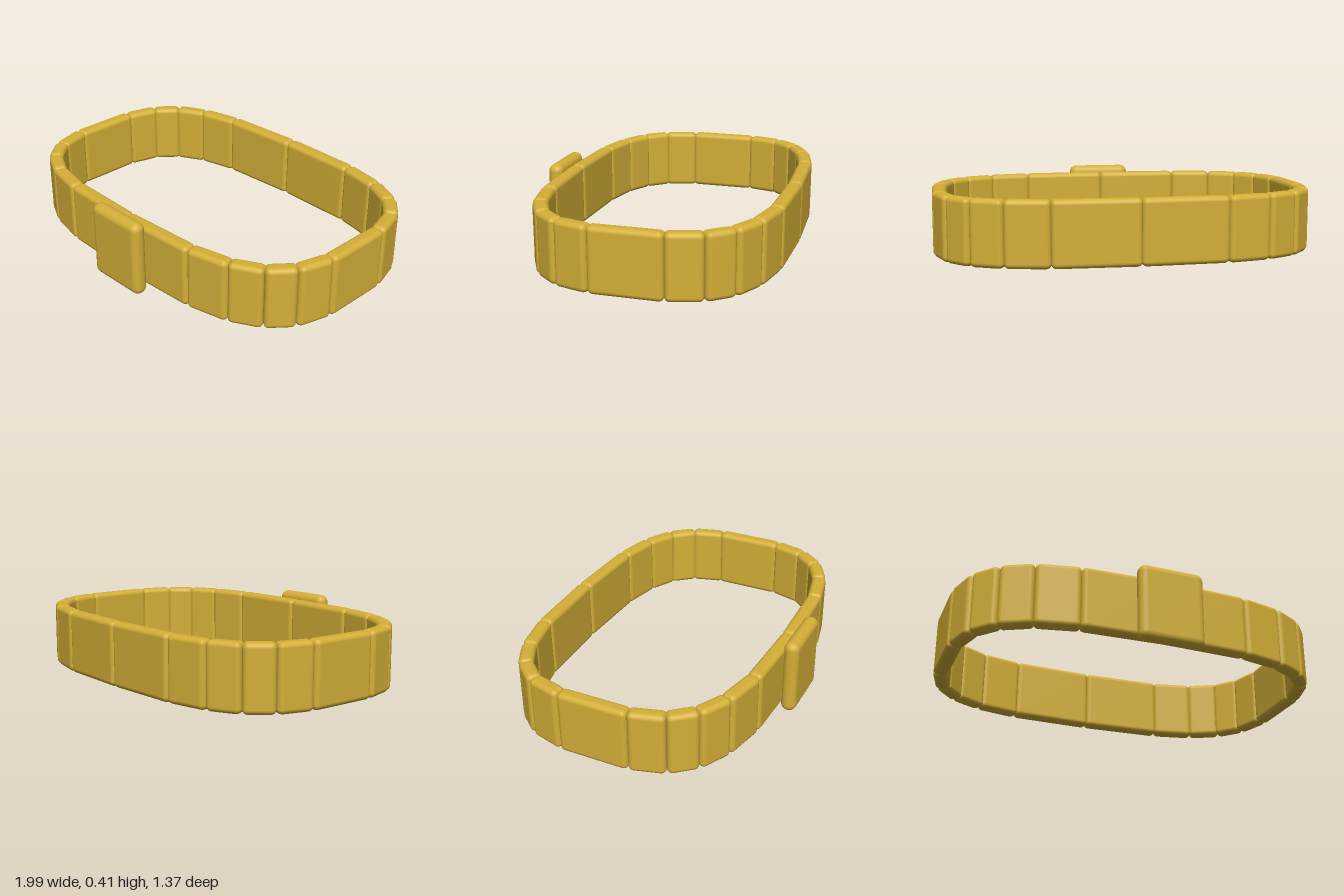
import * as THREE from 'three';
import { RoundedBoxGeometry } from 'three/addons/geometries/RoundedBoxGeometry.js';

const LINKS = 22;
const RADIUS_X = 0.96, RADIUS_Z = 0.612, SQUARENESS = 0.62;
const CENTRE_Y = 0.2075, CENTRE_Z = -0.036;

// Point on the rounded-rectangular loop that the links follow
function loopPoint(i) {
  const t = Math.PI / 2 + (i / LINKS) * Math.PI * 2;
  const bend = (v) => Math.sign(v) * Math.abs(v) ** SQUARENESS;
  return new THREE.Vector3(RADIUS_X * bend(Math.cos(t)), CENTRE_Y, CENTRE_Z + RADIUS_Z * bend(Math.sin(t)));
}

export function createModel() {
  const model = new THREE.Group();
  model.name = 'bracelet';
  const gold = new THREE.MeshStandardMaterial({ color: 0xd4af37 });
  gold.name = 'gold';

  // Band of straight links, one between each pair of loop points
  const band = new THREE.Group();
  band.name = 'band';
  for (let i = 0; i < LINKS; i++) {
    const a = loopPoint(i), b = loopPoint(i + 1);
    const length = a.distanceTo(b) + 0.004;
    const link = new THREE.Mesh(new RoundedBoxGeometry(length, 0.335, 0.078, 4, 0.026), gold);
    link.name = 'link';
    link.position.addVectors(a, b).multiplyScalar(0.5);
    link.rotation.y = Math.atan2(a.z - b.z, b.x - a.x);
    band.add(link);
  }
  model.add(band);

  // Raised clasp plate on the front
  const clasp = new THREE.Mesh(new RoundedBoxGeometry(0.345, 0.41, 0.082, 5, 0.039), gold);
  clasp.name = 'clasp';
  clasp.position.set(0, 0.205, 0.643);
  model.add(clasp);

  return model;
}
